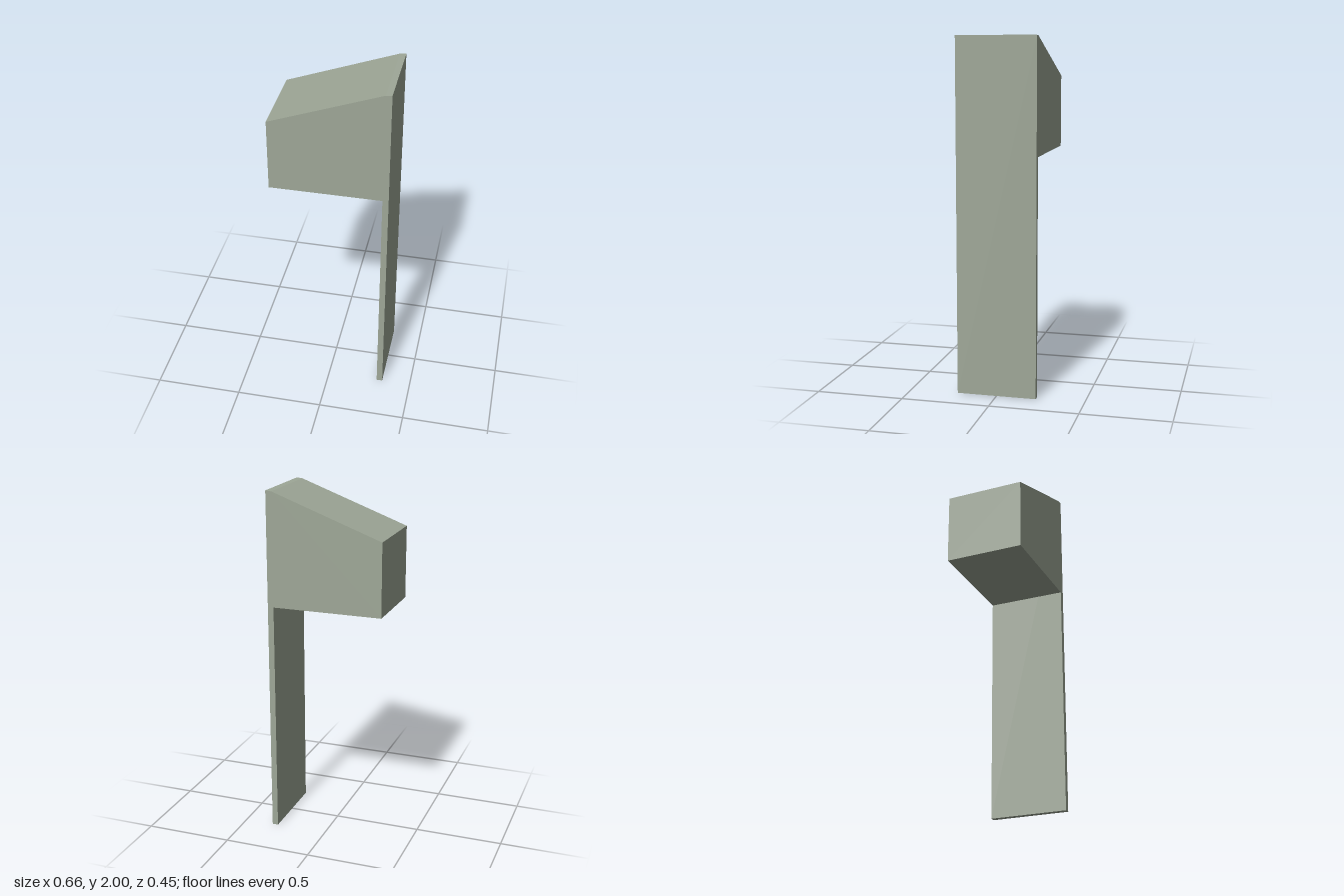
import * as THREE from 'three';

const DEPTH = 0.452;

// Extrudes an x/y outline along z, centred on z = 0
function slab(name, points, material) {
  const shape = new THREE.Shape(points.map(([x, y]) => new THREE.Vector2(x, y)));
  const geometry = new THREE.ExtrudeGeometry(shape, { depth: DEPTH, bevelEnabled: false });
  geometry.translate(0, 0, -DEPTH / 2);
  const mesh = new THREE.Mesh(geometry, material);
  mesh.name = name;
  return mesh;
}

export function createModel() {
  const model = new THREE.Group();
  model.name = 'boxOnBackboard';

  const greyGreen = new THREE.MeshStandardMaterial({ color: 0x9ea797 });
  greyGreen.name = 'greyGreen';

  const outer = 0.331, inner = 0.297, boxBottom = 1.35;

  // Tall thin board, standing on the ground
  model.add(slab('backboard', [
    [inner, 0], [outer, 0], [outer, 2], [inner, 1.997],
  ], greyGreen));

  // Box with a sloping roof, fixed to the top of the board
  model.add(slab('slopedBox', [
    [-outer, boxBottom], [inner, boxBottom], [inner, 1.997], [-outer, 1.766],
  ], greyGreen));

  return model;
}
